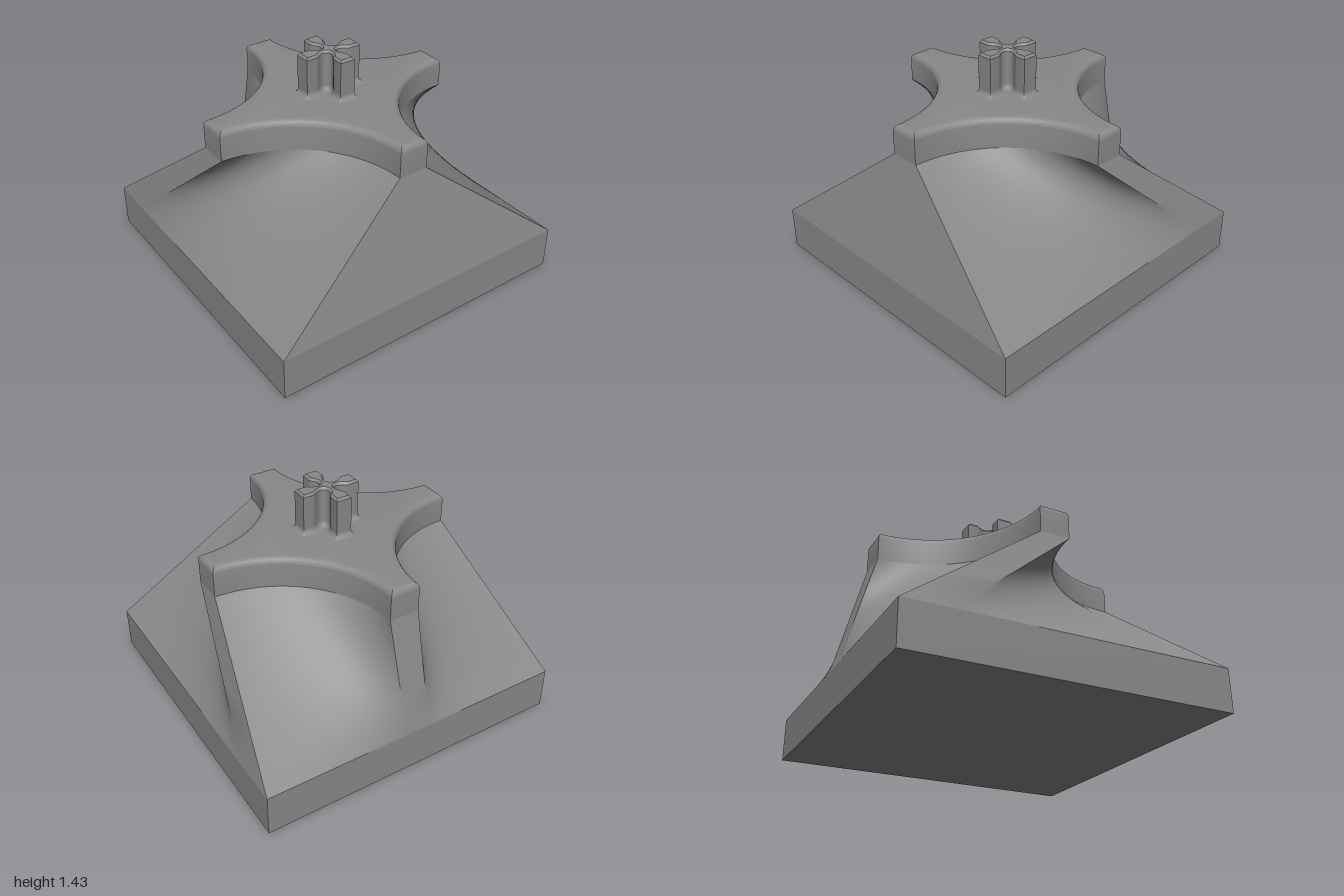
import * as THREE from 'three';
import { toCreasedNormals } from 'three/addons/utils/BufferGeometryUtils.js';

const material = new THREE.MeshStandardMaterial({ color: 0x888888 });
const N = 32; // segments per concave arc of the star

// Repeat one quarter outline of [x, z] points four times around the y axis
function fourfold(quarter) {
  const out = [];
  let pts = quarter;
  for (let k = 0; k < 4; k++) {
    out.push(...pts);
    pts = pts.map(([x, z]) => [z, -x]);
  }
  return out;
}

// Grow (d > 0) or shrink (d < 0) a closed outline with mitred corners
function offset(pts, d) {
  const n = pts.length;
  const normal = (a, b) => {
    const dx = b[0] - a[0], dz = b[1] - a[1], l = Math.hypot(dx, dz);
    return [-dz / l, dx / l];
  };
  return pts.map((p, i) => {
    const a = normal(pts[(i + n - 1) % n], p), b = normal(p, pts[(i + 1) % n]);
    const s = d / (1 + a[0] * b[0] + a[1] * b[1]);
    return [p[0] + (a[0] + b[0]) * s, p[1] + (a[1] + b[1]) * s];
  });
}

const ring = (pts, y) => pts.map(([x, z]) => [x, y, z]);

// Skin a stack of rings from bottom to top, optionally capping the last one
function loft(name, rings, cap) {
  const pos = [];
  const n = rings[0].length;
  for (let r = 0; r + 1 < rings.length; r++) {
    const a = rings[r], b = rings[r + 1];
    for (let i = 0; i < n; i++) {
      const j = (i + 1) % n;
      pos.push(...a[i], ...a[j], ...b[j], ...a[i], ...b[j], ...b[i]);
    }
  }
  if (cap) {
    const top = rings[rings.length - 1];
    const flat = top.map(([x, , z]) => new THREE.Vector2(x, -z));
    for (const f of THREE.ShapeUtils.triangulateShape(flat, [])) {
      f.forEach((i) => pos.push(...top[i]));
    }
  }
  const g = new THREE.BufferGeometry();
  g.setAttribute('position', new THREE.Float32BufferAttribute(pos, 3));
  const mesh = new THREE.Mesh(toCreasedNormals(g, 0.5), material);
  mesh.name = name;
  return mesh;
}

// Four-armed star: blunt arm ends joined by concave quarter arcs
function starOutline() {
  const quarter = [];
  for (let i = 0; i <= N; i++) {
    const a = (i / N) * Math.PI / 2;
    quarter.push([0.81 - 0.715 * Math.cos(a), 0.81 - 0.715 * Math.sin(a)]);
  }
  return fourfold(quarter);
}

// Square whose points follow the star's by arc length along each side
function matchedSquare(star) {
  const n = star.length;
  const corners = [[1, 1], [1, -1], [-1, -1], [-1, 1]];
  const starts = [0, N + 1, 3 * N + 2, 4 * N + 3, n]; // star point over each corner
  const out = [];
  for (let s = 0; s < 4; s++) {
    const lengths = [0];
    for (let i = starts[s]; i < starts[s + 1]; i++) {
      const a = star[i], b = star[(i + 1) % n];
      lengths.push(lengths[lengths.length - 1] + Math.hypot(b[0] - a[0], b[1] - a[1]));
    }
    const total = lengths.pop();
    const c = corners[s], d = corners[(s + 1) % 4];
    for (const l of lengths) {
      const t = l / total;
      out.push([c[0] + (d[0] - c[0]) * t, c[1] + (d[1] - c[1]) * t]);
    }
  }
  return out;
}

// Cross with narrow necks and a rounded inner corner; tip lists one arm-end corner
function crossOutline(tip) {
  const V = (x, z) => new THREE.Vector2(x, z);
  const neck = new THREE.CubicBezierCurve(V(0.05, 0.12), V(0.045, 0.1), V(0.02, 0.085), V(0.02, 0.055));
  const side = [...tip, ...neck.getPoints(10).map((p) => [p.x, p.y])];
  const corner = [];
  for (let i = 1; i < 10; i++) {
    const a = Math.PI + (i / 10) * Math.PI / 2;
    corner.push([0.055 + 0.035 * Math.cos(a), 0.055 + 0.035 * Math.sin(a)]);
  }
  const mirrored = side.map(([x, z]) => [z, x]).reverse();
  return fourfold([...side, ...corner, ...mirrored]);
}

export function createModel() {
  const group = new THREE.Group();

  // Square base slab
  const base = new THREE.Mesh(new THREE.BoxGeometry(2, 0.27, 2), material);
  base.position.y = 0.135;
  base.name = 'baseSlab';
  group.add(base);

  // Ruled skirt from the square up to the star
  const star = starOutline();
  const square = matchedSquare(star);
  const skirt = [];
  for (let k = 0; k <= 16; k++) {
    const t = k / 16;
    skirt.push(star.map((p, i) => [
      square[i][0] + (p[0] - square[i][0]) * t,
      0.27 + 0.71 * t,
      square[i][1] + (p[1] - square[i][1]) * t,
    ]));
  }
  group.add(loft('skirt', skirt, false));

  // Star plate with a rounded top edge
  const plate = [ring(star, 0.98)];
  for (let k = 0; k <= 6; k++) {
    const a = (k / 6) * Math.PI / 2;
    plate.push(ring(offset(star, -0.04 * (1 - Math.cos(a))), 1.13 + 0.04 * Math.sin(a)));
  }
  group.add(loft('starPlate', plate, true));

  // Flared foot of the cross, sweeping round the arm-end corners
  const roundTip = [];
  for (let i = 0; i <= 5; i++) {
    const a = (1 - i / 5) * Math.PI / 2;
    roundTip.push([0.048 + 0.002 * Math.cos(a), 0.188 + 0.002 * Math.sin(a)]);
  }
  const footOutline = crossOutline(roundTip);
  const foot = [];
  for (let k = 0; k <= 6; k++) {
    const a = (k / 6) * Math.PI / 2;
    foot.push(ring(offset(footOutline, 0.034 * (1 - Math.sin(a))), 1.17 + 0.034 * (1 - Math.cos(a))));
  }
  group.add(loft('crossFoot', foot, false));

  // Straight cross post with a small top bevel
  const cross = crossOutline([[0.05, 0.19]]);
  group.add(loft('crossPost', [ring(cross, 1.17), ring(cross, 1.415), ring(offset(cross, -0.012), 1.43)], true));

  return group;
}
